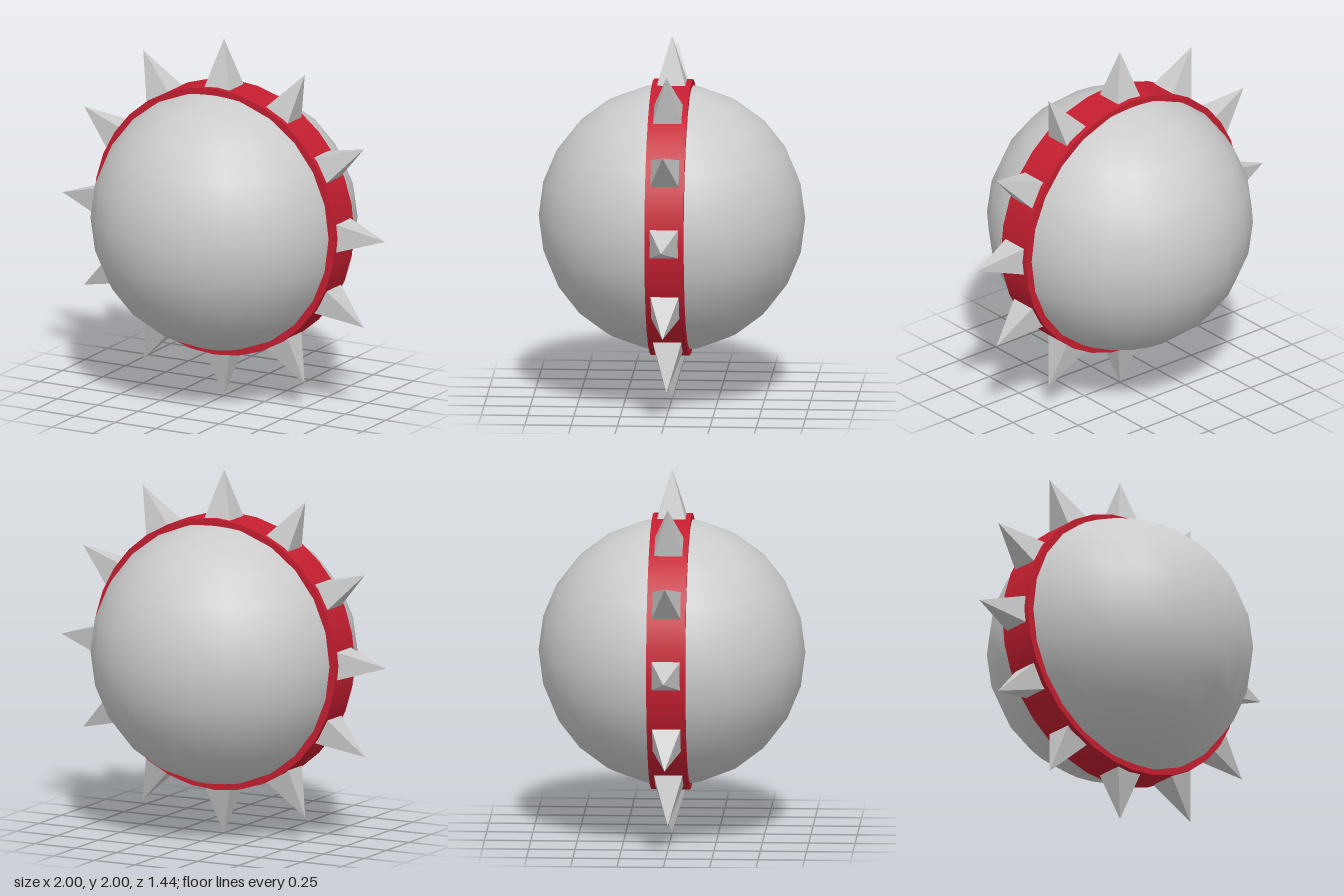
import * as THREE from 'three';

const CENTRE_Y = 1;
const BALL_RADIUS = 0.72;
const BAND_RADIUS = 0.745;
const BAND_WIDTH = 0.21;
const SPIKE_COUNT = 12;
const SPIKE_BASE = 0.735; // distance of the spike base from the centre
const SPIKE_TIP = 1;
const SPIKE_HALF = 0.078; // half the side of the square base

export function createModel() {
  const model = new THREE.Group();
  model.name = 'spikedBall';

  const grey = new THREE.MeshStandardMaterial({ color: 0xcccccc });
  const greyFlat = new THREE.MeshStandardMaterial({ color: 0xcccccc, flatShading: true });
  const red = new THREE.MeshStandardMaterial({ color: 0xc41e30 });

  // Smooth ball
  const ball = new THREE.Mesh(new THREE.SphereGeometry(BALL_RADIUS, 24, 12), grey);
  ball.name = 'ball';
  ball.position.y = CENTRE_Y;
  model.add(ball);

  // Red band round the ball, facing front and back
  const bandGeometry = new THREE.CylinderGeometry(BAND_RADIUS, BAND_RADIUS, BAND_WIDTH, 32);
  bandGeometry.rotateX(Math.PI / 2);
  const band = new THREE.Mesh(bandGeometry, red);
  band.name = 'band';
  band.position.y = CENTRE_Y;
  model.add(band);

  // Four-sided spikes spaced evenly along the band
  const height = SPIKE_TIP - SPIKE_BASE;
  const spikeGeometry = new THREE.ConeGeometry(SPIKE_HALF * Math.SQRT2, height, 4);
  spikeGeometry.rotateY(Math.PI / 4);
  spikeGeometry.translate(0, SPIKE_BASE + height / 2, 0);

  const spikes = new THREE.Group();
  spikes.name = 'spikes';
  spikes.position.y = CENTRE_Y;
  for (let i = 0; i < SPIKE_COUNT; i++) {
    const spike = new THREE.Mesh(spikeGeometry, greyFlat);
    spike.name = 'spike';
    spike.rotation.z = (i / SPIKE_COUNT) * Math.PI * 2;
    spikes.add(spike);
  }
  model.add(spikes);

  return model;
}
